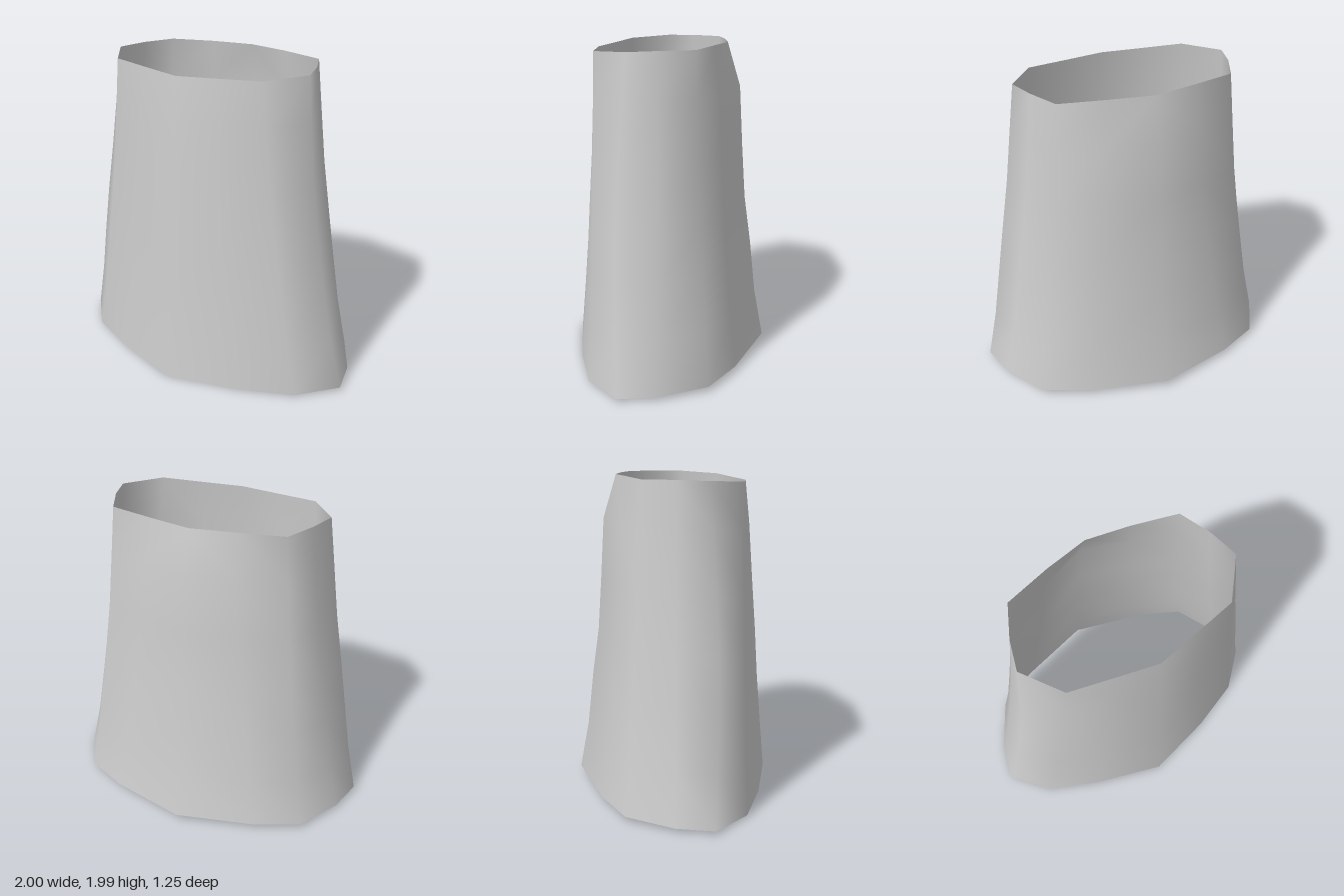
import * as THREE from 'three';

// Half outlines from centre front round the left side to centre back: [x, y, z]
const hem = [
  [0, 0, 0.625], [0.45, 0.003, 0.5], [0.79, 0.008, 0.36], [1, 0.02, 0.14],
  [0.94, 0.02, -0.09], [0.78, 0.03, -0.37], [0.5, 0.035, -0.5], [0, 0.045, -0.63],
];
const waist = [
  [0, 1.95, 0.465], [0.25, 1.958, 0.415], [0.52, 1.968, 0.36], [0.69, 1.98, 0.13],
  [0.64, 1.985, -0.05], [0.55, 1.985, -0.245], [0.27, 1.99, -0.315], [0, 1.99, -0.365],
];

// Per ring: height, and how far front, side and back have tapered towards the waist
const rings = [
  [0, 0, 0, 0], [0.16, 0.18, 0.23, 0.22], [0.335, 0.36, 0.42, 0.36], [0.49, 0.48, 0.58, 0.52],
  [0.67, 0.65, 0.76, 0.61], [0.86, 0.82, 0.9, 0.69], [1, 1, 1, 1],
];

function createSkirtGeometry() {
  const half = hem.length, count = half * 2 - 2;
  const positions = [], indices = [];
  rings.forEach(([height, front, side, back], r) => {
    for (let i = 0; i < count; i++) {
      const mirrored = i >= half;
      const c = mirrored ? count - i : i;
      const a = hem[c], b = waist[c];
      const taper = c < 3 ? front : c < 6 ? side : c === 6 ? (side + back) / 2 : back;
      const x = THREE.MathUtils.lerp(a[0], b[0], side);
      const y = THREE.MathUtils.lerp(a[1], b[1], height);
      // the side seam bows slightly forward at mid height
      const bow = c === 3 ? 0.04 * Math.sin(Math.PI * height) : 0;
      const z = THREE.MathUtils.lerp(a[2], b[2], taper) + bow;
      positions.push(mirrored ? -x : x, y, z);
      if (r < rings.length - 1) {
        const p = r * count + i, q = r * count + (i + 1) % count;
        // diagonals mirrored left to right
        if (i < half - 1) indices.push(p, q, q + count, p, q + count, p + count);
        else indices.push(p, q, p + count, q, q + count, p + count);
      }
    }
  });
  const geometry = new THREE.BufferGeometry();
  geometry.setAttribute('position', new THREE.Float32BufferAttribute(positions, 3));
  geometry.setIndex(indices);
  geometry.computeVertexNormals();
  return geometry;
}

export function createModel() {
  const group = new THREE.Group();
  // Open tapered tube of thin cloth
  const skirt = new THREE.Mesh(
    createSkirtGeometry(),
    new THREE.MeshStandardMaterial({ color: 0xcccccc, side: THREE.DoubleSide }),
  );
  skirt.name = 'skirt';
  group.add(skirt);
  return group;
}
